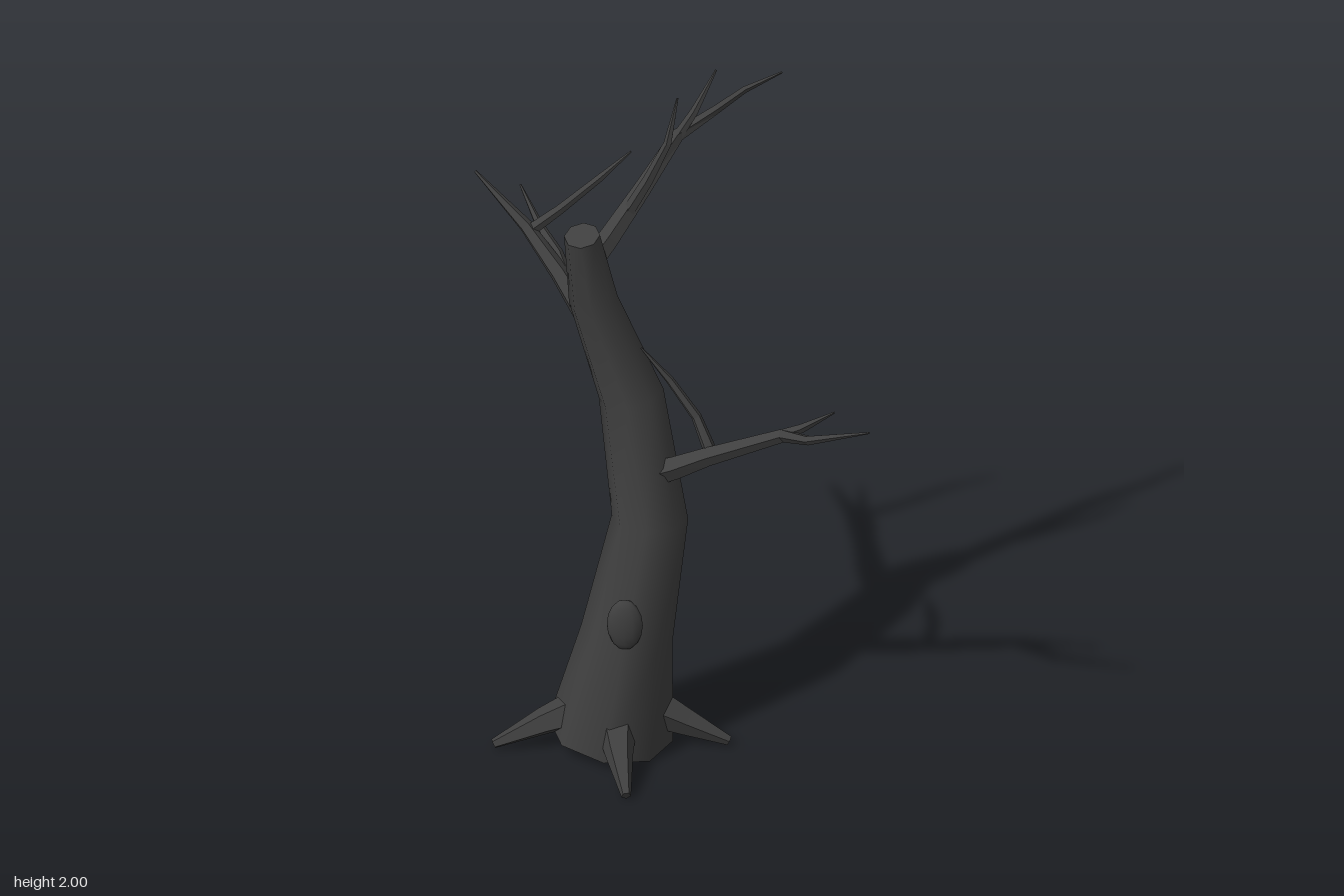
import * as THREE from 'three';

// Closed tapering limb through points [x, y, z, radius], rings square to the path
function limb(points, sides, smooth) {
  const p = points.map(q => new THREE.Vector3(q[0], q[1], q[2]));
  const n = p.length;
  const whole = p[n - 1].clone().sub(p[0]).normalize();
  const ref = Math.abs(whole.z) < 0.75 ? new THREE.Vector3(0, 0, 1) : new THREE.Vector3(1, 0, 0);
  const pos = [], idx = [];
  for (let i = 0; i < n; i++) {
    const t = p[Math.min(i + 1, n - 1)].clone().sub(p[Math.max(i - 1, 0)]).normalize();
    const u = ref.clone().cross(t).normalize();
    const v = t.clone().cross(u);
    for (let j = 0; j < sides; j++) {
      const a = j / sides * Math.PI * 2;
      const q = p[i].clone().addScaledVector(u, Math.cos(a) * points[i][3])
        .addScaledVector(v, Math.sin(a) * points[i][3]);
      pos.push(q.x, q.y, q.z);
    }
  }
  for (let i = 0; i < n - 1; i++) {
    for (let j = 0; j < sides; j++) {
      const a = i * sides + j, b = i * sides + (j + 1) % sides;
      idx.push(a, b, b + sides, a, b + sides, a + sides);
    }
  }
  // End caps with their own vertices, so the rims stay sharp
  for (const end of [0, n - 1]) {
    const base = pos.length / 3;
    for (let j = 0; j < sides; j++) {
      const k = (end * sides + j) * 3;
      pos.push(pos[k], pos[k + 1], pos[k + 2]);
    }
    for (let j = 1; j < sides - 1; j++) {
      if (end) idx.push(base, base + j, base + j + 1);
      else idx.push(base, base + j + 1, base + j);
    }
  }
  let g = new THREE.BufferGeometry();
  g.setAttribute('position', new THREE.Float32BufferAttribute(pos, 3));
  g.setIndex(idx);
  if (!smooth) g = g.toNonIndexed();
  g.computeVertexNormals();
  return g;
}

export function createModel() {
  const model = new THREE.Group();
  const bark = new THREE.MeshStandardMaterial({ color: 0x3f3f3f });
  bark.name = 'dark bark';

  const add = (name, geometry, parent = model) => {
    const mesh = new THREE.Mesh(geometry, bark);
    mesh.name = name;
    parent.add(mesh);
    return mesh;
  };

  // Leaning trunk with a sawn-off top
  add('trunk', limb([
    [-0.16, 0.022, 0.07, 0.175],
    [-0.115, 0.34, 0.072, 0.128],
    [-0.055, 0.7, 0.035, 0.106],
    [-0.112, 1.07, -0.01, 0.092],
    [-0.215, 1.38, 0.008, 0.069],
    [-0.24, 1.62, 0.066, 0.05],
  ], 8, true));

  // Oval knot on the front
  const knot = add('knot', new THREE.SphereGeometry(1, 12, 8));
  knot.scale.set(0.05, 0.08, 0.025);
  knot.position.set(-0.108, 0.44, 0.188);

  // Four spreading roots: start inside the trunk, knee, tip
  const roots = {
    rightRoot: [[-0.2, 0.12, 0.09, 0.065], [-0.34, 0.07, 0.125, 0.04], [-0.475, 0.012, 0.163, 0.014]],
    leftRoot: [[-0.07, 0.12, 0.07, 0.065], [0.05, 0.065, 0.072, 0.04], [0.17, 0.012, 0.075, 0.014]],
    frontRoot: [[-0.14, 0.11, 0.13, 0.065], [-0.115, 0.07, 0.265, 0.04], [-0.082, 0.012, 0.392, 0.014]],
    backRoot: [[-0.14, 0.12, 0.0, 0.065], [-0.13, 0.07, -0.13, 0.04], [-0.12, 0.012, -0.265, 0.014]],
  };
  for (const [name, path] of Object.entries(roots)) add(name, limb(path, 5));

  // Branches: a main limb followed by its twigs
  const branches = {
    topBranch: [
      [[-0.23, 1.5, 0.04, 0.036], [-0.17, 1.58, 0.0, 0.031], [-0.09, 1.69, -0.075, 0.026],
        [0.0, 1.825, -0.155, 0.02], [0.1, 1.87, -0.23, 0.013], [0.17, 1.895, -0.3, 0.01], [0.268, 1.92, -0.362, 0.003]],
      [[-0.02, 1.79, -0.14, 0.017], [0.045, 1.89, -0.18, 0.012], [0.1, 1.998, -0.23, 0.003]],
      [[-0.13, 1.63, -0.035, 0.019], [-0.07, 1.74, -0.045, 0.016], [-0.015, 1.86, -0.055, 0.012], [0.01, 1.998, -0.072, 0.003]],
    ],
    rightBranch: [
      [[-0.16, 1.17, -0.02, 0.04], [-0.24, 1.24, -0.1, 0.035], [-0.33, 1.34, -0.18, 0.028],
        [-0.43, 1.435, -0.26, 0.02], [-0.58, 1.558, -0.335, 0.004]],
      [[-0.42, 1.425, -0.255, 0.018], [-0.34, 1.475, -0.295, 0.014], [-0.24, 1.535, -0.37, 0.011], [-0.155, 1.61, -0.4, 0.003]],
      [[-0.3, 1.31, -0.16, 0.02], [-0.34, 1.37, -0.235, 0.016], [-0.4, 1.42, -0.3, 0.012], [-0.46, 1.49, -0.386, 0.003]],
    ],
    leftBranch: [
      [[-0.04, 0.855, 0.05, 0.038], [0.02, 0.885, 0.065, 0.034], [0.11, 0.94, 0.088, 0.028],
        [0.32, 1.03, 0.1, 0.02], [0.4, 1.075, 0.19, 0.014], [0.58, 1.17, 0.285, 0.003]],
      [[0.31, 1.025, 0.095, 0.018], [0.38, 1.075, 0.125, 0.013], [0.472, 1.165, 0.182, 0.003]],
      [[0.12, 0.945, 0.08, 0.02], [0.075, 1.04, 0.045, 0.015], [0.0, 1.14, 0.025, 0.012], [-0.08, 1.24, 0.025, 0.003]],
    ],
  };
  for (const [name, paths] of Object.entries(branches)) {
    const group = new THREE.Group();
    group.name = name;
    paths.forEach((path, i) => add(i ? 'twig' + i : 'mainLimb', limb(path, 5), group));
    model.add(group);
  }
  return model;
}
